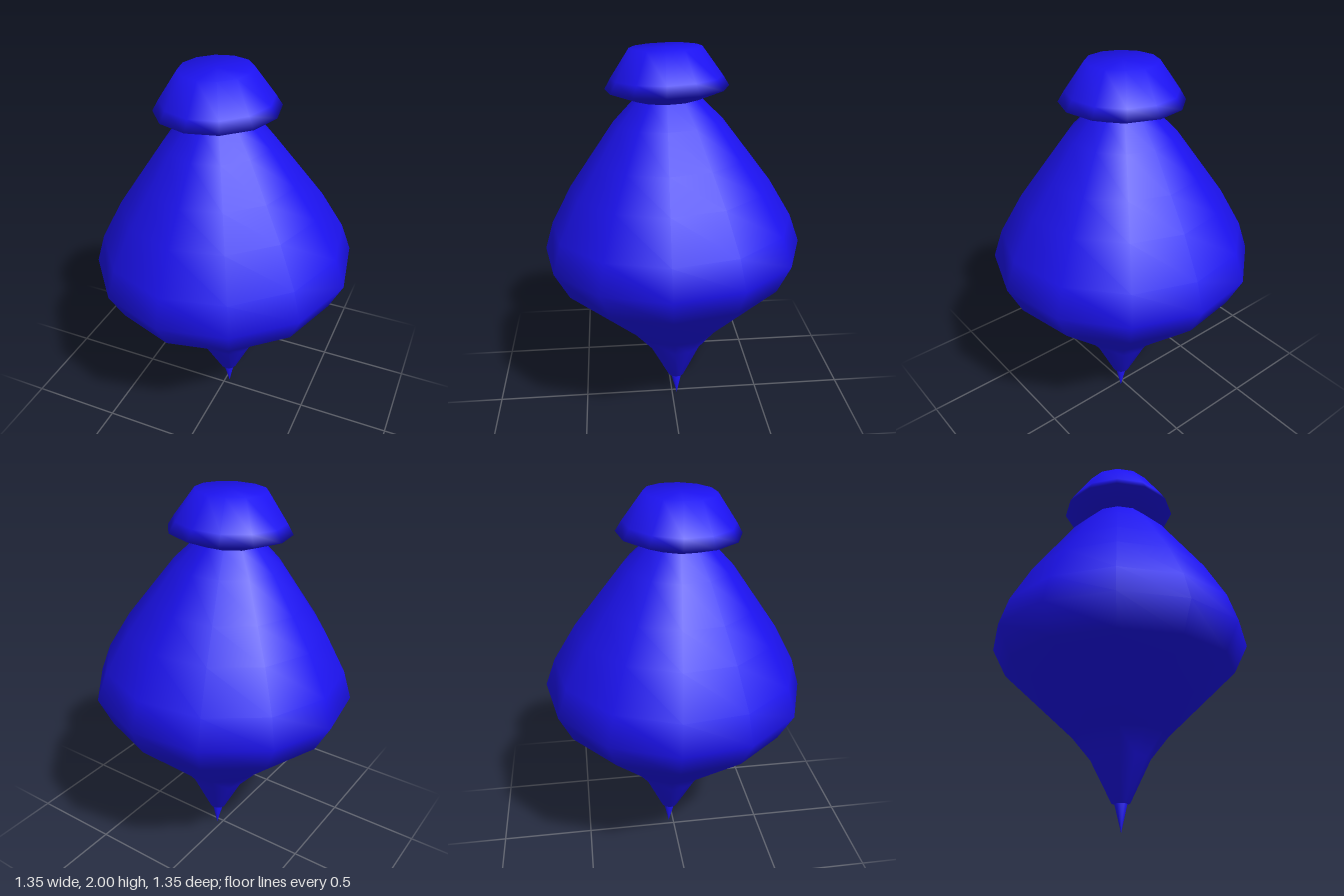
import * as THREE from 'three';

const SIDES = 12;
const TILT = 0.0275;
const PIVOT = 0.98; // height the whole top leans about

export function createModel() {
  const model = new THREE.Group();
  model.name = 'spinningTop';
  const material = new THREE.MeshStandardMaterial({ color: 0x1c12f0 });

  // Turned part from [radius, height] pairs, bottom to top
  const turned = (name, profile) => {
    const points = profile.map(([r, y]) => new THREE.Vector2(r, y - PIVOT));
    const geometry = new THREE.LatheGeometry(points, SIDES, THREE.MathUtils.degToRad(-5));
    const mesh = new THREE.Mesh(geometry, material);
    mesh.name = name;
    return mesh;
  };

  const lean = new THREE.Group();
  lean.name = 'leaningTop';
  lean.position.y = PIVOT;
  lean.rotation.set(TILT, 0, TILT);

  // Needle the top spins on
  lean.add(turned('spike', [[0, 0], [0.034, 0.145], [0, 0.15]]));

  // Bulging body, from the narrow foot up to the neck
  lean.add(turned('body', [
    [0, 0.135], [0.046, 0.14], [0.152, 0.355], [0.245, 0.47], [0.605, 0.81],
    [0.68, 0.96], [0.63, 1.11], [0.516, 1.31], [0.403, 1.465], [0.275, 1.64], [0.168, 1.748],
  ]));

  // Flared grip with a flat end
  lean.add(turned('knob', [
    [0.168, 1.748], [0.308, 1.802], [0.276, 1.855], [0.178, 1.995], [0, 1.996],
  ]));

  model.add(lean);
  return model;
}
